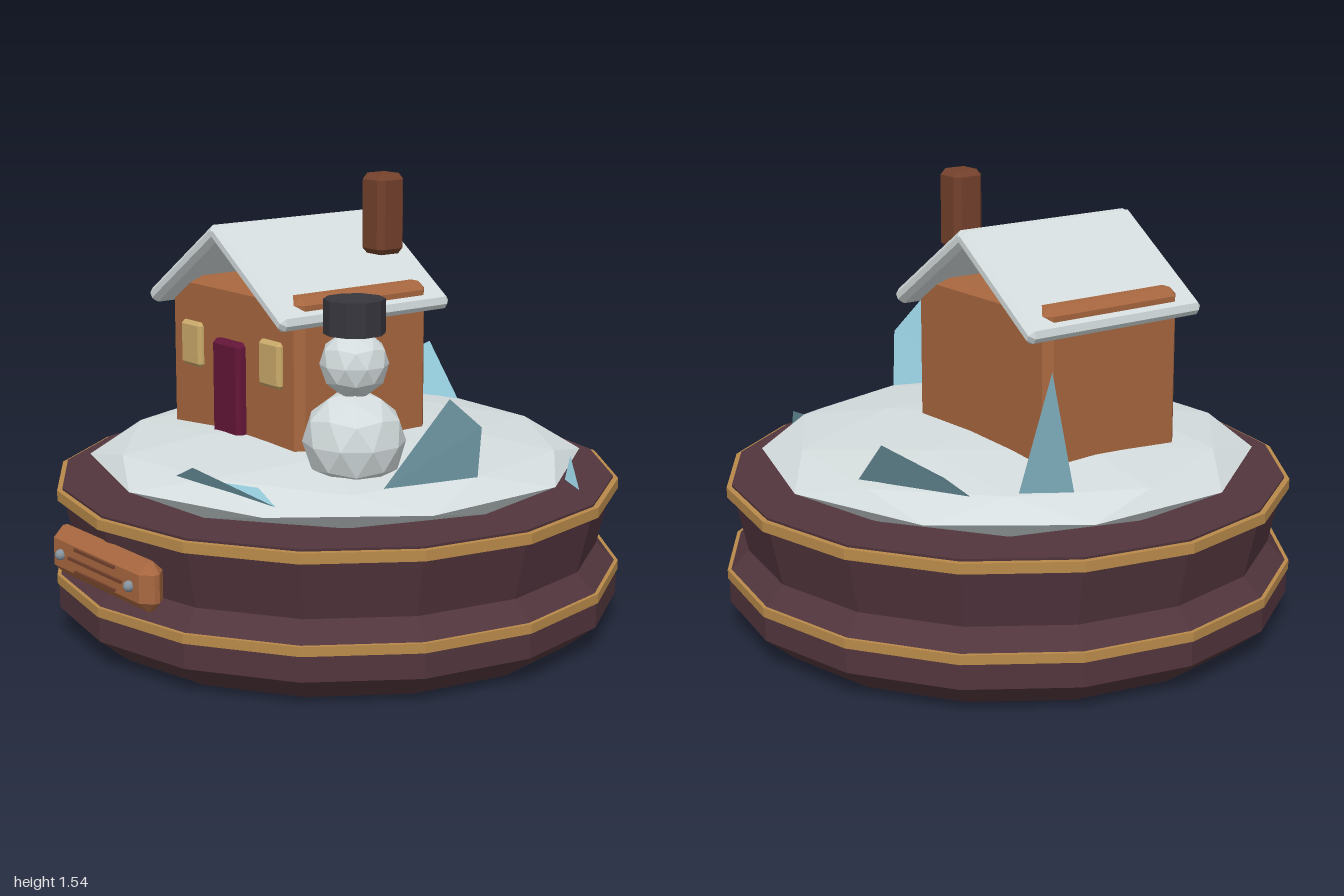
import * as THREE from 'three';
import { ConvexGeometry } from 'three/addons/geometries/ConvexGeometry.js';

const mat = (name, color, side = THREE.FrontSide) => {
  const m = new THREE.MeshStandardMaterial({ color, side });
  m.name = name;
  return m;
};

// Faceted look: every triangle gets its own normal
const flat = (geo) => {
  const g = geo.index ? geo.toNonIndexed() : geo;
  g.computeVertexNormals();
  return g;
};

// Box with all edges chamfered by b
function chamferBox(w, h, d, b) {
  const pts = [];
  for (const x of [-1, 1]) for (const y of [-1, 1]) for (const z of [-1, 1]) {
    const [X, Y, Z] = [w / 2, h / 2, d / 2];
    pts.push(
      new THREE.Vector3(x * X, y * (Y - b), z * (Z - b)),
      new THREE.Vector3(x * (X - b), y * Y, z * (Z - b)),
      new THREE.Vector3(x * (X - b), y * (Y - b), z * Z));
  }
  return new ConvexGeometry(pts);
}

// Low-poly ball with a vertex at the top
function ball(r, detail = 1) {
  const g = new THREE.IcosahedronGeometry(r, detail);
  g.rotateX(-Math.PI / 2 + Math.atan2(2, 1 + Math.sqrt(5)));
  g.rotateY(-Math.PI / 2);
  return g;
}

// Thin flat shard from a fan of corner points
function shardGeometry(pts) {
  const pos = [];
  for (let i = 1; i < pts.length - 1; i++) pos.push(...pts[0], ...pts[i], ...pts[i + 1]);
  const g = new THREE.BufferGeometry();
  g.setAttribute('position', new THREE.Float32BufferAttribute(pos, 3));
  return flat(g);
}

export function createModel() {
  const root = new THREE.Group();
  root.name = 'winterScene';
  const M = {
    base: mat('darkPlum', 0x52353d),
    gold: mat('gold', 0xb98a4a),
    snow: mat('snow', 0xd4dcdd),
    wood: mat('wood', 0xa8673f),
    brick: mat('brick', 0x74412c),
    door: mat('doorRed', 0x641638),
    glass: mat('windowYellow', 0xcaaa6a),
    hat: mat('hatBlack', 0x37363d),
    ice: mat('ice', 0x8fc4d4, THREE.DoubleSide),
    metal: mat('metal', 0x87929c),
  };
  const add = (parent, name, geo, material, x = 0, y = 0, z = 0) => {
    const m = new THREE.Mesh(flat(geo), material);
    m.name = name;
    m.position.set(x, y, z);
    parent.add(m);
    return m;
  };
  const group = (name, x = 0, y = 0, z = 0) => {
    const g = new THREE.Group();
    g.name = name;
    g.position.set(x, y, z);
    root.add(g);
    return g;
  };
  const lathe = (pts) => new THREE.LatheGeometry(pts.map(p => new THREE.Vector2(...p)), 16);

  // Sixteen-sided stand with two gold bands
  const stand = group('stand', 0, 0, -0.015);
  add(stand, 'base', lathe([[0, 0], [0.87, 0], [0.98, 0.09], [0.98, 0.2], [0.91, 0.27],
    [0.955, 0.47], [0.96, 0.51], [0, 0.51]]), M.base);
  add(stand, 'lowerBand', lathe([[0.95, 0.175], [0.986, 0.175], [0.986, 0.207], [0.95, 0.207]]), M.gold);
  add(stand, 'upperBand', lathe([[0.92, 0.467], [0.978, 0.467], [0.978, 0.502], [0.92, 0.502]]), M.gold);

  // Name plate without lettering: plaque, bars and two studs
  const plaque = group('plaque', 0, 0.336, 0.93);
  add(plaque, 'plaqueBody', chamferBox(0.585, 0.165, 0.09, 0.036), M.wood);
  for (const [y, w] of [[0.038, 0.24], [0, 0.32], [-0.038, 0.24]])
    add(plaque, 'plaqueBar', new THREE.BoxGeometry(w, 0.01, 0.009), M.brick, 0, y, 0.048);
  for (const s of [-1, 1])
    add(plaque, 'plaqueStud', ball(0.019), M.metal, s * 0.207, 0, 0.05);

  // Flattened snow mound
  const mound = ball(0.855);
  mound.scale(1, 0.122 / 0.855, 1);
  add(root, 'snowMound', mound, M.snow, 0, 0.57, -0.015);

  // House
  const house = group('house', -0.12, 0, 0.06);
  add(house, 'walls', chamferBox(0.74, 0.63, 0.56, 0.027), M.wood, 0, 0.867, 0);
  add(house, 'door', chamferBox(0.155, 0.39, 0.08, 0.014), M.door, 0, 0.795, 0.274);
  for (const s of [-1, 1]) {
    add(house, 'window', chamferBox(0.118, 0.157, 0.04, 0.012), M.glass, s * 0.226, 0.945, 0.279);
    const roof = add(house, 'roofSlab', chamferBox(0.49, 0.056, 0.72, 0.018), M.snow, s * 0.185, 1.232, 0);
    roof.rotation.z = -s * THREE.MathUtils.degToRad(35);
  }
  add(house, 'chimney', chamferBox(0.115, 0.273, 0.115, 0.02), M.brick, 0.238, 1.408, -0.182);

  // Snowman with a plain ten-sided hat
  const snowman = group('snowman', 0.43, 0, 0.255);
  add(snowman, 'snowmanBody', ball(0.168), M.snow, 0, 0.735, 0);
  add(snowman, 'snowmanHead', ball(0.112), M.snow, 0, 0.988, 0);
  add(snowman, 'snowmanHat', new THREE.CylinderGeometry(0.1, 0.1, 0.112, 10), M.hat, 0, 1.143, 0);

  // Ice shards standing around the mound
  const shards = [
    [[0.645, 0.63, 0.31], [0.825, 0.935, 0.2], [0.81, 0.82, 0.05], [0.73, 0.63, -0.01]],
    [[-0.755, 1.065, -0.405], [-0.595, 0.64, -0.41], [-0.69, 0.64, -0.265]],
    [[-0.53, 0.64, -0.55], [-0.505, 0.71, -0.63], [-0.375, 0.81, -0.775], [-0.15, 0.63, -0.72]],
    [[0.11, 0.63, 0.73], [0.3, 0.707, 0.795], [0.495, 0.592, 0.62], [0.39, 0.63, 0.61]],
    [[0.69, 0.62, -0.47], [0.765, 0.57, -0.37], [0.775, 0.525, -0.43]],
  ];
  const ice = group('iceShards');
  for (const pts of shards) add(ice, 'iceShard', shardGeometry(pts), M.ice);

  return root;
}
